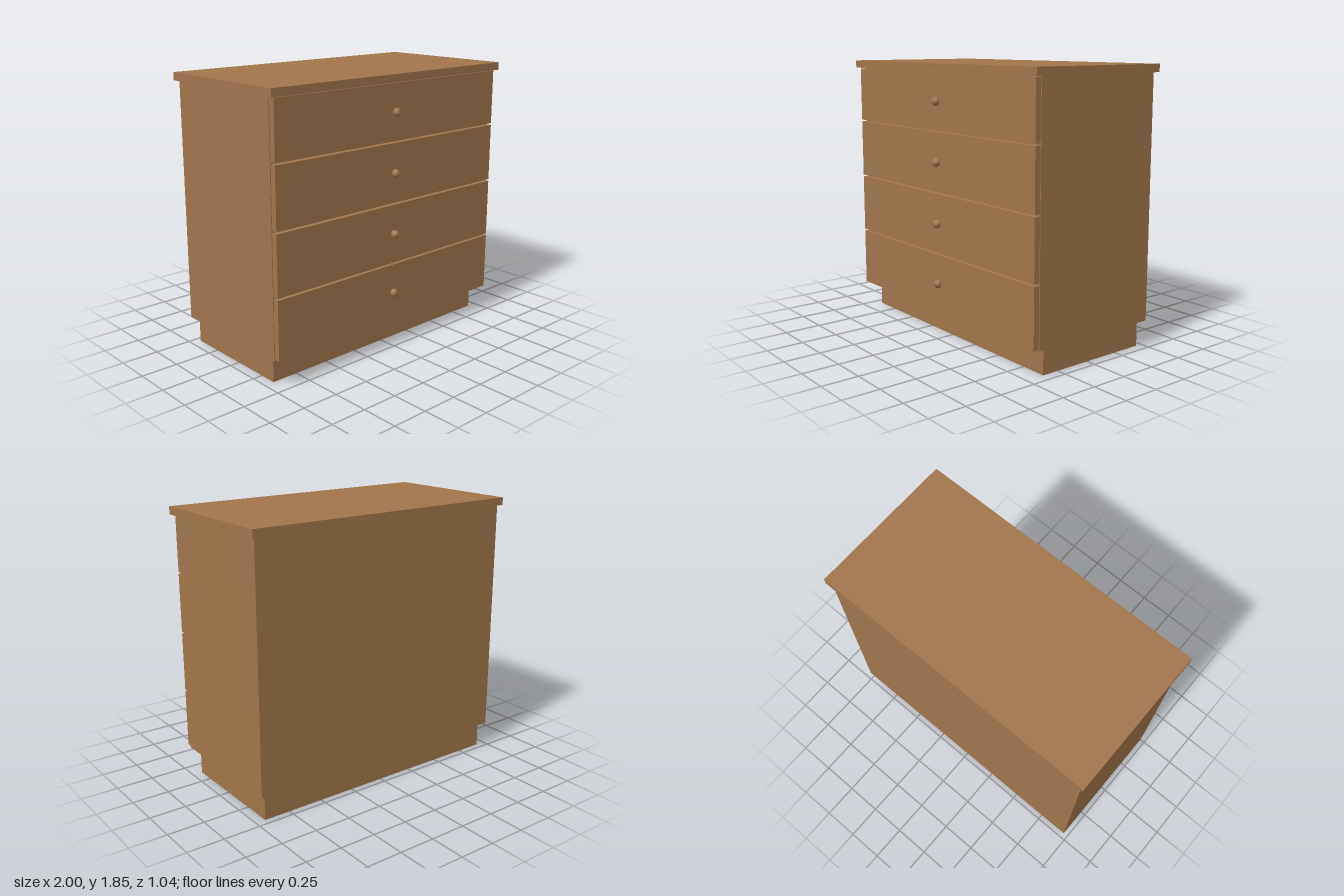
import * as THREE from 'three';

export function createModel() {
  const model = new THREE.Group();
  model.name = 'chestOfDrawers';
  const wood = new THREE.MeshStandardMaterial({ color: 0xa0764d });
  wood.name = 'brown wood';

  // Box given by half width, height range and depth range
  function box(name, halfX, y0, y1, z0, z1) {
    const mesh = new THREE.Mesh(new THREE.BoxGeometry(halfX * 2, y1 - y0, z1 - z0), wood);
    mesh.name = name;
    mesh.position.set(0, (y0 + y1) / 2, (z0 + z1) / 2);
    model.add(mesh);
  }

  box('plinth', 0.933, 0, 0.178, -0.455, 0.37);
  box('carcass', 0.975, 0.178, 1.798, -0.493, 0.44);
  box('topBoard', 1, 1.798, 1.85, -0.519, 0.5);

  // Drawer fronts with narrow gaps, each with a round knob
  const knobGeometry = new THREE.SphereGeometry(0.029, 10, 8);
  const drawers = [[0.186, 0.582], [0.595, 0.995], [1.008, 1.406], [1.419, 1.792]];
  drawers.forEach(([y0, y1], i) => {
    box(`drawerFront${i + 1}`, 0.97, y0, y1, 0.44, 0.48);
    const knob = new THREE.Mesh(knobGeometry, wood);
    knob.name = `drawerKnob${i + 1}`;
    knob.position.set(0, (y0 + y1) / 2, 0.49);
    model.add(knob);
  });

  return model;
}
